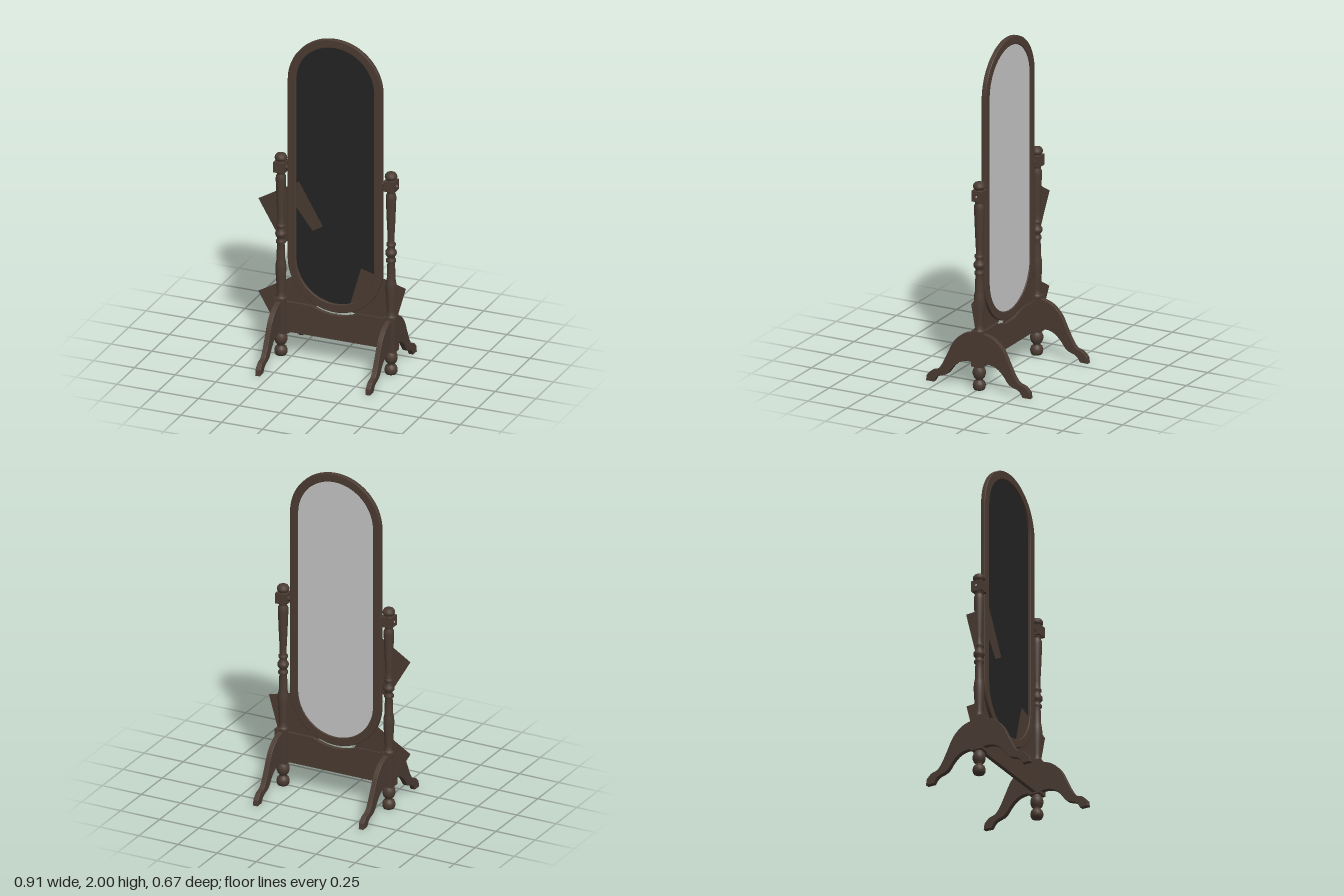
import * as THREE from 'three';

const wood = new THREE.MeshStandardMaterial({ color: 0x4b3c33 });
wood.name = 'dark wood';
const woodSheet = new THREE.MeshStandardMaterial({ color: 0x4b3c33, side: THREE.DoubleSide });
woodSheet.name = 'dark wood sheet';
const glass = new THREE.MeshStandardMaterial({ color: 0x242424 });
glass.name = 'dark glass';
const backing = new THREE.MeshStandardMaterial({ color: 0xc8c8c8 });
backing.name = 'grey backing';

const CX = 0.022, CZ = -0.002, POST = 0.338; // centre of the stand, half post spacing
const TOP = 1.71, LOW = 0.61;                // centres of the frame's two arcs

function add(parent, name, geometry, material, x = 0, y = 0, z = 0) {
  const mesh = new THREE.Mesh(geometry, material);
  mesh.name = name;
  mesh.position.set(x, y, z);
  parent.add(mesh);
  return mesh;
}

// Outline with straight sides and round ends
function stadium(r, Type = THREE.Shape) {
  const s = new Type();
  s.absarc(0, TOP, r, 0, Math.PI, false);
  s.absarc(0, LOW, r, Math.PI, Math.PI * 2, false);
  s.closePath();
  return s;
}

function lathe(pairs) {
  return new THREE.LatheGeometry(pairs.map(([r, y]) => new THREE.Vector2(r, y)), 24);
}

function bevelled(shape, depth, bevel, curveSegments = 32) {
  const g = new THREE.ExtrudeGeometry(shape, {
    depth: depth - 2 * bevel, bevelEnabled: true, bevelThickness: bevel,
    bevelSize: bevel, bevelOffset: -bevel, bevelSegments: 2, curveSegments,
  });
  return g.translate(0, 0, -(depth - 2 * bevel) / 2);
}

// Pair of curved feet, front and back, cut from one board
function legGeometry() {
  const upper = [[0.33, 0.035], [0.30, 0.065], [0.26, 0.08], [0.23, 0.12], [0.2, 0.18],
    [0.16, 0.26], [0.11, 0.31], [0.06, 0.332], [0, 0.34]];
  const lower = [[0, 0.155], [0.07, 0.16], [0.12, 0.145], [0.16, 0.11], [0.2, 0.06], [0.26, 0.035], [0.285, 0]];
  const vec = (list) => list.map(([z, y]) => new THREE.Vector2(z, y));
  const mirror = (list) => list.slice(0, -1).map(([z, y]) => [-z, y]).reverse();
  const s = new THREE.Shape();
  s.moveTo(0.335, 0);
  s.lineTo(0.33, 0.035);
  s.splineThru(vec([...upper.slice(1), ...mirror(upper)]));
  s.lineTo(-0.335, 0);
  s.lineTo(-0.285, 0);
  const under = [...lower.slice(0, -1)];
  s.splineThru(vec([...under.slice(1).reverse().map(([z, y]) => [-z, y]), ...lower]));
  s.closePath();
  return bevelled(s, 0.03, 0.002, 4).rotateY(-Math.PI / 2);
}

// One turned post with its blocks, pivot and feet
function makePost(side) {
  const post = new THREE.Group();
  post.name = side > 0 ? 'leftPost' : 'rightPost';
  post.position.set(CX + side * POST, 0, CZ);
  add(post, 'turnedFoot', lathe([[0, 0], [0.03, 0], [0.036, 0.012], [0.037, 0.03], [0.032, 0.046],
    [0.021, 0.054], [0.021, 0.063], [0.031, 0.074], [0.037, 0.092], [0.037, 0.11],
    [0.031, 0.128], [0.024, 0.136], [0.024, 0.145]]), wood);
  add(post, 'lowerBlock', new THREE.BoxGeometry(0.07, 0.212, 0.07), wood, 0, 0.246, 0);
  add(post, 'turnedColumn', lathe([[0.032, 0.35], [0.032, 0.358], [0.024, 0.364], [0.023, 0.39],
    [0.026, 0.44], [0.03, 0.5], [0.031, 0.54], [0.029, 0.565], [0.024, 0.59], [0.024, 0.64], [0.021, 0.685],
    [0.028, 0.69], [0.028, 0.704], [0.021, 0.71], [0.022, 0.722], [0.031, 0.734], [0.033, 0.745],
    [0.031, 0.756], [0.022, 0.768], [0.021, 0.785], [0.027, 0.79], [0.027, 0.802], [0.019, 0.81],
    [0.02, 0.85], [0.024, 0.93], [0.028, 1.03], [0.03, 1.08], [0.029, 1.1], [0.023, 1.112],
    [0.023, 1.12], [0.028, 1.125], [0.028, 1.132]]), wood);
  add(post, 'upperBlock', new THREE.BoxGeometry(0.066, 0.064, 0.066), wood, 0, 1.161, 0);
  add(post, 'finial', lathe([[0.026, 1.19], [0.022, 1.198], [0.032, 1.203], [0.036, 1.213],
    [0.034, 1.225], [0.026, 1.236], [0.012, 1.24], [0, 1.24]]), wood);
  // Pivot runs through the block to the frame, ending in a small screw
  const pivot = add(post, 'pivot', new THREE.CylinderGeometry(0.014, 0.014, 0.09, 16), wood, -side * 0.01, 1.161, 0);
  pivot.rotation.z = Math.PI / 2;
  const screw = add(post, 'pivotScrew', new THREE.CylinderGeometry(0.005, 0.005, 0.006, 12), backing, side * 0.035, 1.161, 0);
  screw.rotation.z = Math.PI / 2;
  add(post, 'legs', legGeometry(), wood);
  return post;
}

// Thin square sheet whose depth follows zAt(x, y)
function sheetGeometry(corners, zAt) {
  const g = new THREE.BufferGeometry();
  g.setAttribute('position', new THREE.Float32BufferAttribute(corners.flatMap(([x, y]) => [x, y, zAt(x, y)]), 3));
  g.setIndex([0, 2, 1, 0, 3, 2]);
  g.computeVertexNormals();
  return g;
}

export function createModel() {
  const model = new THREE.Group();
  model.name = 'standingMirror';

  // Tilting mirror
  const mirror = new THREE.Group();
  mirror.name = 'mirror';
  mirror.position.set(0.02, 0, CZ);
  model.add(mirror);
  const ring = stadium(0.29);
  ring.holes.push(stadium(0.24, THREE.Path));
  add(mirror, 'frame', bevelled(ring, 0.028, 0.004), wood);
  const pane = new THREE.ShapeGeometry(stadium(0.245), 32);
  add(mirror, 'glass', pane, glass, 0, 0, -0.001);
  // The stadium's back face, turned about its own centre line
  add(mirror, 'backPanel', pane, backing, 0, 0, -0.007).rotation.y = Math.PI;

  for (const side of [-1, 1]) model.add(makePost(side));

  // Apron between the posts, scooped to clear the frame
  const apron = new THREE.Shape();
  const scoop = Math.asin((LOW - 0.335) / 0.31);
  apron.moveTo(-0.325, 0.15);
  apron.lineTo(0.325, 0.15);
  apron.lineTo(0.325, 0.335);
  apron.absarc(0, LOW, 0.31, -scoop, -Math.PI + scoop, true);
  apron.lineTo(-0.325, 0.335);
  apron.closePath();
  add(model, 'apron', bevelled(apron, 0.024, 0.001, 20), wood, 0.02, 0, CZ);

  // Loose square sheets standing around the mirror
  const square = [[-0.457, 0.935], [-0.204, 1.085], [-0.058, 0.832], [-0.31, 0.682]];
  add(model, 'upperSheet', sheetGeometry(square,
    (x, y) => -0.003 + 0.028 * (0.788 * x + 0.616 * y - 0.393)), woodSheet);
  add(model, 'lowerSheet', sheetGeometry(square.map(([x, y]) => [x, y - 0.571]), () => -0.006), woodSheet);
  add(model, 'sideSheet', sheetGeometry(
    [[0.177, 0.616], [0.452, 0.537], [0.373, 0.262], [0.098, 0.341]], () => 0), woodSheet);

  return model;
}
